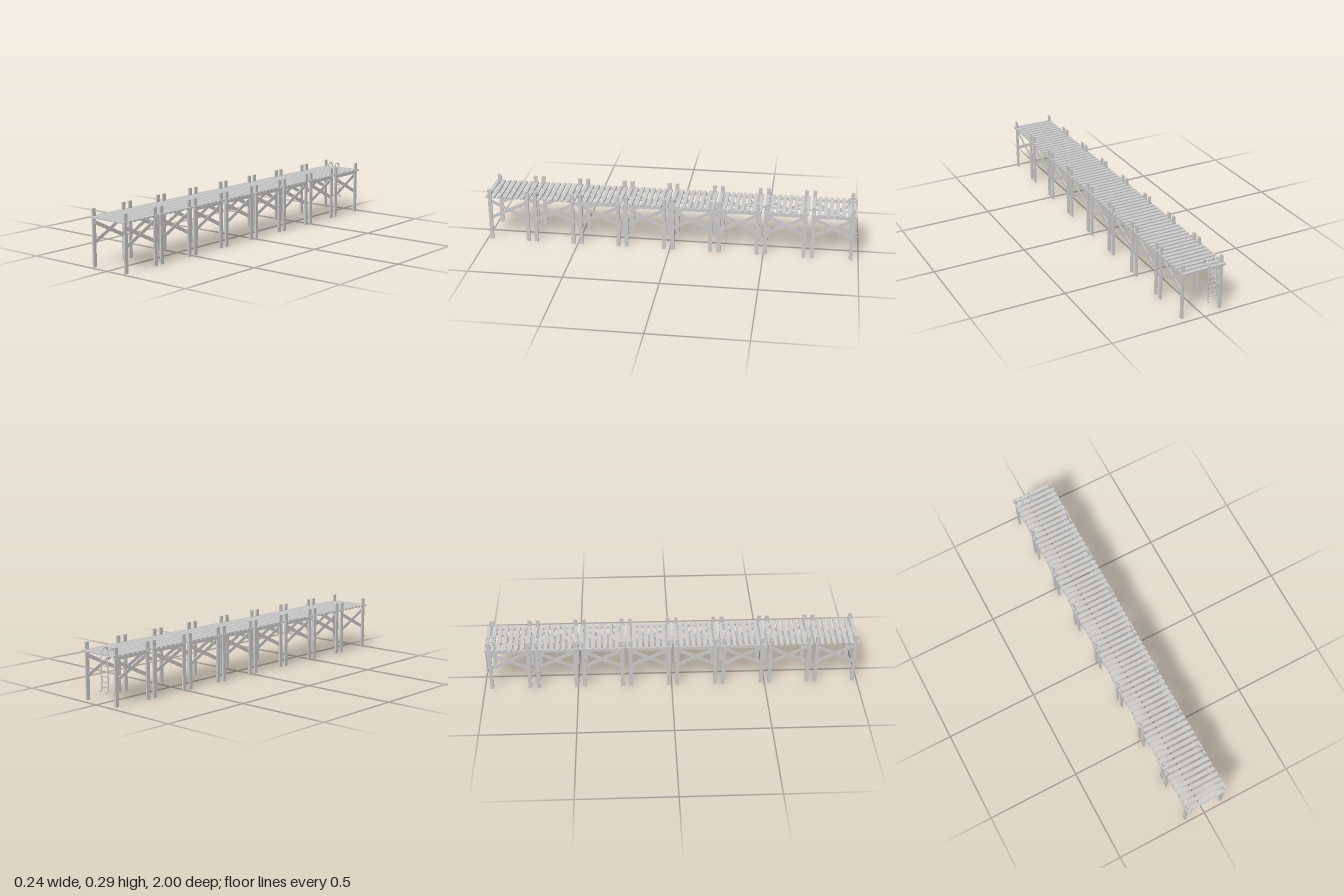
import * as THREE from 'three';

export function createModel() {
  const root = new THREE.Group();
  root.name = 'pier';
  const mat = new THREE.MeshStandardMaterial({ color: 0xcccccc });
  const add = (parent, name, geo, x, y, z) => {
    const m = new THREE.Mesh(geo, mat);
    m.name = name;
    m.position.set(x, y, z);
    parent.add(m);
    return m;
  };

  // deck planks
  const deck = new THREE.Group();
  deck.name = 'deck';
  root.add(deck);
  const plankGeo = new THREE.BoxGeometry(0.236, 0.009, 0.02);
  for (let i = 0; i < 64; i++) add(deck, 'plank', plankGeo, 0, 0.2495, 0.986 - i * 0.0311);

  // eight trestle bays: four posts, crossed braces and side beams
  const span = 0.203, pitch = 0.2476, rise = 0.1;
  const postGeo = new THREE.BoxGeometry(0.009, 0.291, 0.02);
  const braceGeo = new THREE.BoxGeometry(0.004, 0.018, Math.hypot(span, rise) - 0.004);
  const beamGeo = new THREE.BoxGeometry(0.012, 0.015, 0.222);
  const tilt = Math.atan2(rise, span);
  for (let i = 0; i < 8; i++) {
    const bay = new THREE.Group();
    bay.name = 'bay';
    bay.position.z = 0.8745 - i * pitch;
    root.add(bay);
    for (const side of [-1, 1]) {
      for (const end of [-1, 1]) {
        add(bay, 'post', postGeo, side * 0.106, 0.1455, end * span / 2);
        add(bay, 'brace', braceGeo, side * (0.101 + end * 0.001), 0.174, 0).rotation.x = end * tilt;
      }
      // the two bays at the shore end have no side beam
      if (i > 1) add(bay, 'sideBeam', beamGeo, side * 0.1065, 0.238, 0);
    }
  }

  // ladder with hooped rails over the end of the deck
  const ladder = new THREE.Group();
  ladder.name = 'ladder';
  root.add(ladder);
  const path = new THREE.CatmullRomCurve3([
    [0.25, -0.937], [0.267, -0.939], [0.278, -0.948], [0.279, -0.962], [0.268, -0.975],
    [0.24, -0.982], [0.16, -0.982], [0.09, -0.982], [0.077, -0.985], [0.071, -0.996],
  ].map(([y, z]) => new THREE.Vector3(0, y, z)), false, 'centripetal');
  const railGeo = new THREE.TubeGeometry(path, 48, 0.0036, 10);
  const capGeo = new THREE.SphereGeometry(0.0036, 10, 6);
  for (const x of [-0.071, -0.0235]) {
    add(ladder, 'ladderRail', railGeo, x, 0, 0);
    add(ladder, 'railEnd', capGeo, x, 0.071, -0.996);
  }
  const rungGeo = new THREE.CylinderGeometry(0.003, 0.003, 0.0475, 10).rotateZ(Math.PI / 2);
  for (let i = 0; i < 6; i++) add(ladder, 'rung', rungGeo, -0.04725, 0.0935 + i * 0.026, -0.982);

  return root;
}
